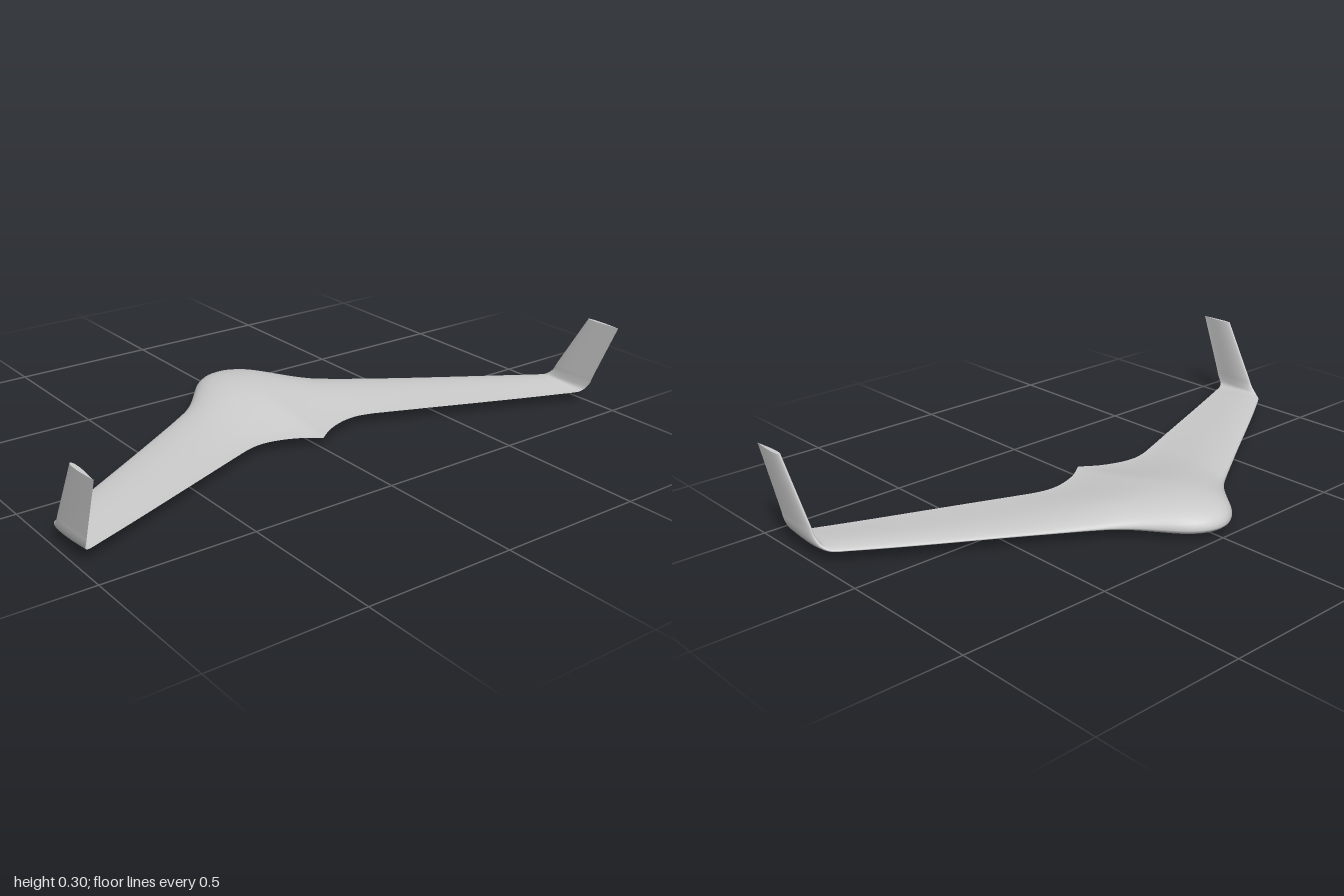
import * as THREE from 'three';

// Span stations: s (distance along the span), x, y, leading z, trailing z,
// upper depth, lower depth, roll (radians)
const stations = [
  [0, 0, 0.037, -0.495, 0.16, 0.063, 0.037, 0],
  [0.02, 0.02, 0.037, -0.493, 0.145, 0.0627, 0.0367, 0],
  [0.05, 0.05, 0.037, -0.483, 0.124, 0.061, 0.0355, 0],
  [0.1, 0.1, 0.037, -0.447, 0.1, 0.055, 0.031, 0],
  [0.15, 0.15, 0.037, -0.387, 0.086, 0.046, 0.0255, 0],
  [0.2, 0.2, 0.037, -0.327, 0.083, 0.037, 0.02, 0],
  [0.25, 0.25, 0.037, -0.28, 0.094, 0.029, 0.016, 0],
  [0.3, 0.3, 0.037, -0.246, 0.113, 0.024, 0.013, 0],
  [0.4, 0.4, 0.037, -0.182, 0.153, 0.018, 0.011, 0],
  [0.45, 0.45, 0.037, -0.15, 0.173, 0.0165, 0.0105, 0],
  [0.92, 0.92, 0.038, 0.148, 0.36, 0.012, 0.008, 0],
  [0.95, 0.95, 0.0385, 0.168, 0.372, 0.0115, 0.008, 0.05],
  [0.965, 0.965, 0.041, 0.18, 0.379, 0.011, 0.008, 0.4],
  [0.98, 0.976, 0.049, 0.202, 0.386, 0.0105, 0.008, 1.05],
  [1.0, 0.981, 0.07, 0.228, 0.402, 0.01, 0.008, 1.5],
  [1.03, 0.9825, 0.1, 0.246, 0.414, 0.0095, 0.008, 1.52],
  [1.23, 0.993, 0.3, 0.365, 0.496, 0.007, 0.007, 1.52],
];

// Slope of column c at station i
function slope(i, c) {
  const chord = (k) => (stations[k + 1][c] - stations[k][c]) / (stations[k + 1][0] - stations[k][0]);
  if (i === 0) return c === 4 ? chord(0) : 0;
  if (i === stations.length - 1) return chord(i - 1);
  const a = stations[i][0] - stations[i - 1][0];
  const b = stations[i + 1][0] - stations[i][0];
  return (chord(i - 1) * b + chord(i) * a) / (a + b);
}

// Smooth interpolation of all columns
function stationAt(s) {
  let i = 0;
  while (i < stations.length - 2 && s > stations[i + 1][0]) i++;
  const p = stations[i], q = stations[i + 1];
  const h = q[0] - p[0], t = (s - p[0]) / h;
  return p.map((_, c) =>
    p[c] * (1 + 2 * t) * (1 - t) ** 2 + slope(i, c) * h * t * (1 - t) ** 2 +
    q[c] * t * t * (3 - 2 * t) + slope(i + 1, c) * h * t * t * (t - 1));
}

// Aerofoil half depth, 1 at its thickest
const foil = (f) => Math.max(0,
  (0.2969 * Math.sqrt(f) - 0.126 * f - 0.3516 * f ** 2 + 0.2843 * f ** 3 - 0.1036 * f ** 4) / 0.1);

const HALF = 24;

// Closed section from the trailing edge over the top and back underneath
function section(s, side) {
  const [, x, y, lead, trail, up, down, roll] = stationAt(s);
  const points = [];
  for (let j = 0; j <= HALF * 2; j++) {
    const f = (1 + Math.cos((j / HALF) * Math.PI)) / 2;
    const d = foil(f);
    const off = j <= HALF ? up * (f > 0.3 ? d ** 1.45 : d) : -down * d;
    points.push(side * (x - Math.sin(roll) * off), y + Math.cos(roll) * off, lead + f * (trail - lead));
  }
  return points;
}

export function createModel() {
  const group = new THREE.Group();
  group.name = 'flyingWing';
  const material = new THREE.MeshStandardMaterial({ color: 0xcccccc });

  const half = [];
  for (let i = 0; i <= 16; i++) half.push(0.32 * i / 16);
  for (let i = 1; i <= 14; i++) half.push(0.32 + 0.6 * i / 14);
  for (let i = 1; i <= 14; i++) half.push(0.92 + 0.11 * i / 14);
  for (let i = 1; i <= 4; i++) half.push(1.03 + 0.2 * i / 4);
  const spans = [...half.slice(1).reverse().map((s) => -s), ...half];
  const row = HALF * 2 + 1;

  // One continuous skin gives shared smooth normals
  const skin = new THREE.BufferGeometry();
  const positions = spans.flatMap((s) => section(Math.abs(s), s < 0 ? -1 : 1));
  skin.setAttribute('position', new THREE.Float32BufferAttribute(positions, 3));
  const strip = (from, to) => {
    const index = [];
    for (let i = from; i < to; i++) {
      for (let j = 0; j < row - 1; j++) {
        const a = i * row + j, b = a + row;
        index.push(a, b, b + 1, a, b + 1, a + 1);
      }
    }
    return index;
  };
  const last = spans.length - 1, mid = last / 2;
  skin.setIndex(strip(0, last));
  skin.computeVertexNormals();

  const addPart = (name, index, flat) => {
    const source = skin.clone();
    source.setIndex(index);
    const geometry = source.toNonIndexed();
    if (flat) geometry.computeVertexNormals();
    const mesh = new THREE.Mesh(geometry, material);
    mesh.name = name;
    group.add(mesh);
  };

  // Body, wings and upturned winglets cut from the skin
  addPart('centreBody', strip(mid - 16, mid + 16));
  addPart('rightWing', strip(mid - 30, mid - 16));
  addPart('leftWing', strip(mid + 16, mid + 30));
  addPart('rightWinglet', strip(0, mid - 30));
  addPart('leftWinglet', strip(mid + 30, last));

  // Flat winglet tips
  for (const [name, i, side] of [['rightWingletTip', 0, -1], ['leftWingletTip', last, 1]]) {
    const index = [], o = i * row;
    for (let j = 0; j < HALF; j++) {
      const a = o + j, b = a + 1, d = o + row - 1 - j, c = d - 1;
      if (side > 0) index.push(a, c, b, a, d, c);
      else index.push(a, b, c, a, c, d);
    }
    addPart(name, index, true);
  }
  return group;
}
